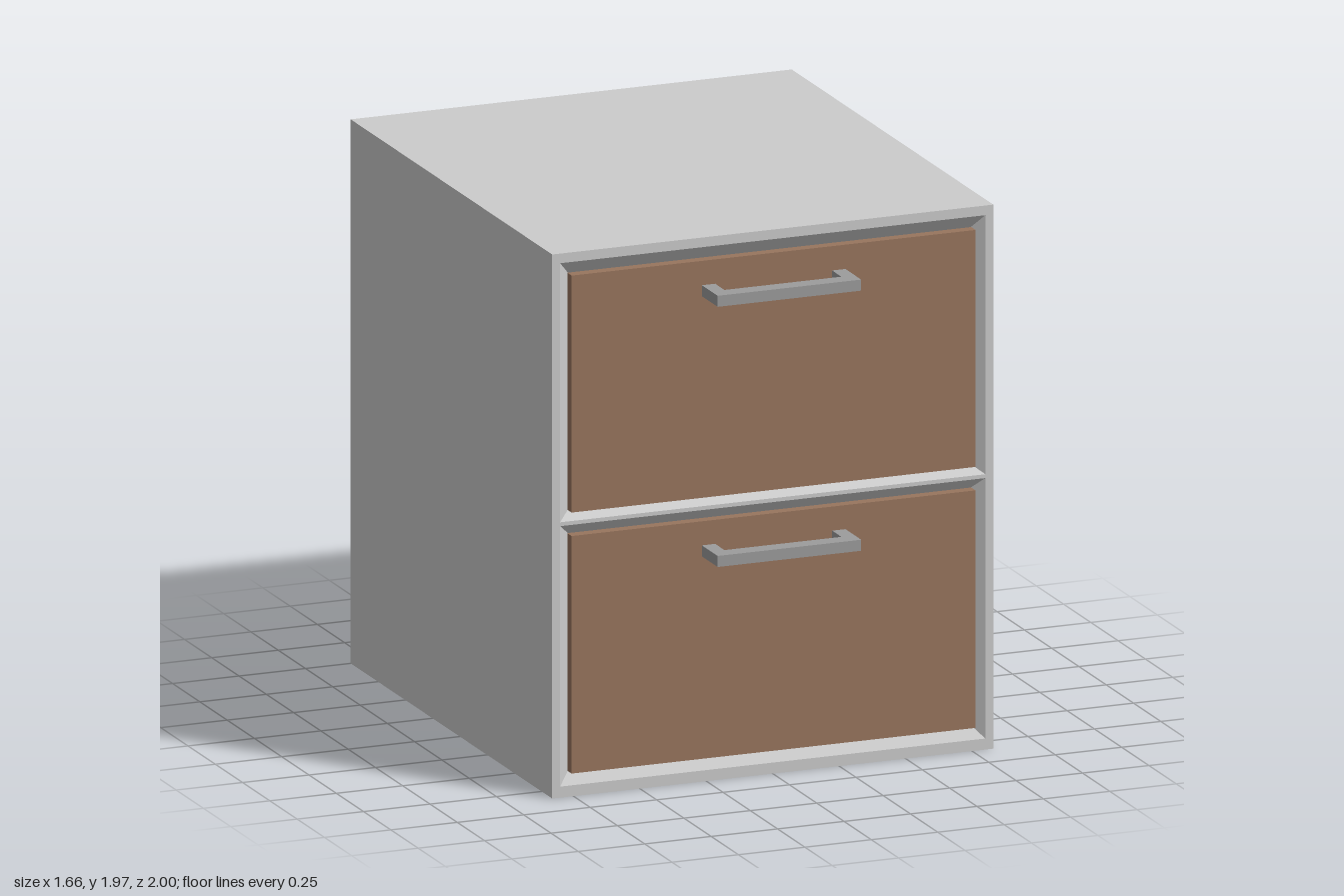
import * as THREE from 'three';

const W = 0.83, H = 1.97, BACK = -1, FRONT = 0.847;

const casing = new THREE.MeshStandardMaterial({ color: 0xcccccc });
casing.name = 'light grey casing';
const wood = new THREE.MeshStandardMaterial({ color: 0x98755e });
wood.name = 'brown drawer front';
const metal = new THREE.MeshStandardMaterial({ color: 0x9c9c9c });
metal.name = 'grey handle';

// Corners of a rectangle, counter-clockwise from the lower left
const rect = (hw, y0, y1) => [[-hw, y0], [hw, y0], [hw, y1], [-hw, y1]];
const toPoints = (corners) => corners.map(([x, y]) => new THREE.Vector2(x, y));

function add(parent, name, geometry, material) {
  const mesh = new THREE.Mesh(geometry, material);
  mesh.name = name;
  parent.add(mesh);
  return mesh;
}

// Four sloping faces from an outer rectangle in to a deeper inner one
function bevelRing(outer, zOuter, inner, zInner) {
  const pos = [];
  for (let i = 0; i < 4; i++) {
    const j = (i + 1) % 4;
    const a = [...outer[i], zOuter], b = [...outer[j], zOuter];
    const c = [...inner[j], zInner], d = [...inner[i], zInner];
    pos.push(...a, ...b, ...c, ...a, ...c, ...d);
  }
  const geometry = new THREE.BufferGeometry();
  geometry.setAttribute('position', new THREE.Float32BufferAttribute(pos, 3));
  geometry.computeVertexNormals();
  return geometry;
}

// U-shaped pull: plan outline extruded upwards
function handleGeometry() {
  const zFoot = 0.85, zBar = 0.94, zEnd = 1;
  const outline = [
    [-0.27, zFoot], [-0.22, zFoot], [-0.22, zBar], [0.22, zBar],
    [0.22, zFoot], [0.27, zFoot], [0.27, zEnd], [-0.27, zEnd],
  ].map(([x, z]) => [x, -z]);
  const geometry = new THREE.ExtrudeGeometry(new THREE.Shape(toPoints(outline)), {
    depth: 0.04, bevelEnabled: false,
  });
  return geometry.rotateX(-Math.PI / 2);
}

export function createModel() {
  const cabinet = new THREE.Group();
  cabinet.name = 'drawerCabinet';

  // Casing: a box without its front face
  const depth = FRONT - BACK;
  const box = new THREE.BoxGeometry(2 * W, H, depth);
  const index = Array.from(box.index.array);
  index.splice(24, 6);
  box.setIndex(index);
  box.clearGroups();
  box.translate(0, H / 2, (FRONT + BACK) / 2);
  add(cabinet, 'casing', box, casing);

  // Front frame with one opening per drawer
  const frame = new THREE.Shape(toPoints(rect(W, 0, H)));
  const drawers = [
    { name: 'lowerDrawer', y0: 0.085, y1: 0.945, rim: rect(0.8, 0.04, 0.983), handleY: 0.818 },
    { name: 'upperDrawer', y0: 1.03, y1: 1.888, rim: rect(0.8, 0.997, 1.935), handleY: 1.76 },
  ];

  for (const { name, y0, y1, rim, handleY } of drawers) {
    frame.holes.push(new THREE.Path(toPoints(rim).reverse()));

    const drawer = new THREE.Group();
    drawer.name = name;
    cabinet.add(drawer);

    // Bevelled recess running in to the drawer edge
    add(drawer, 'recess', bevelRing(rim, FRONT, rect(0.758, y0, y1), 0.815), casing);

    const panel = new THREE.BoxGeometry(1.52, y1 - y0, 0.055);
    panel.translate(0, (y0 + y1) / 2, 0.855 - 0.0275);
    add(drawer, 'drawerFront', panel, wood);

    add(drawer, 'handle', handleGeometry(), metal).position.y = handleY;
  }

  const face = new THREE.ShapeGeometry(frame);
  face.translate(0, 0, FRONT);
  add(cabinet, 'frontFrame', face, casing);

  return cabinet;
}
